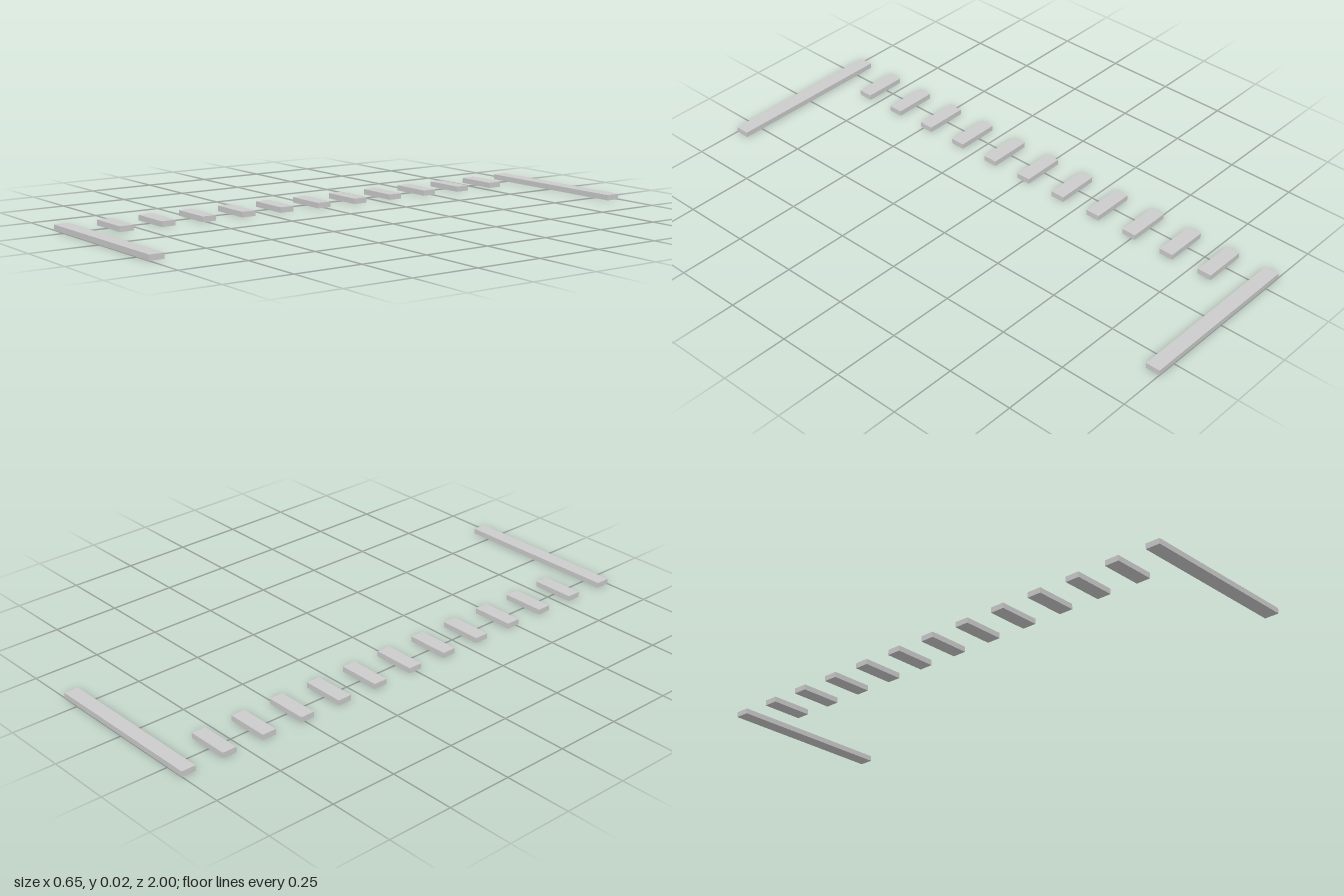
import * as THREE from 'three';

export function createModel() {
  const model = new THREE.Group();
  model.name = 'dashedBracket';
  const material = new THREE.MeshStandardMaterial({ color: 0xcccccc, flatShading: true });

  const count = 13;
  const pitch = 2 / (count - 1 + 1 / 3); // spacing between bar centres
  const depth = pitch / 3;
  const height = 0.02;
  const leftEdge = -2 * pitch;

  // Row of flat bars aligned on one edge: long at both ends, short between
  for (let i = 0; i < count; i++) {
    const isEnd = i === 0 || i === count - 1;
    const length = isEnd ? 4 * pitch : pitch;
    const bar = new THREE.Mesh(new THREE.BoxGeometry(length, height, depth), material);
    bar.name = isEnd ? (i === 0 ? 'backEndBar' : 'frontEndBar') : `shortBar${i}`;
    bar.position.set(leftEdge + length / 2, height / 2, (i - (count - 1) / 2) * pitch);
    model.add(bar);
  }
  return model;
}
